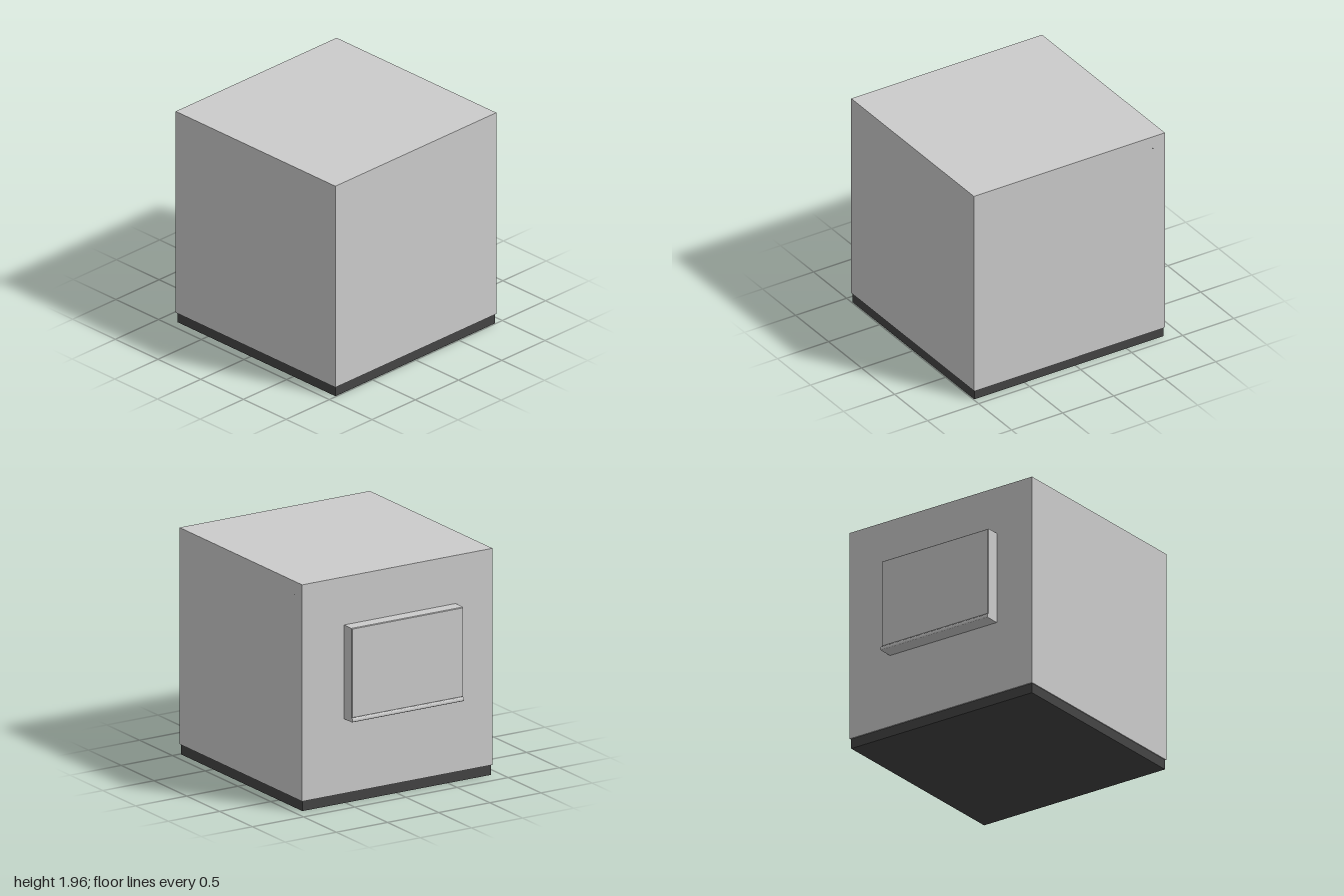
import * as THREE from 'three';

const grey = new THREE.MeshStandardMaterial({ color: 0xcccccc });
const dark = new THREE.MeshStandardMaterial({ color: 0x444444 });

// Box given by its limits on each axis
function box(name, [x0, x1], [y0, y1], [z0, z1], material = grey) {
  const mesh = new THREE.Mesh(new THREE.BoxGeometry(x1 - x0, y1 - y0, z1 - z0), material);
  mesh.position.set((x0 + x1) / 2, (y0 + y1) / 2, (z0 + z1) / 2);
  mesh.name = name;
  return mesh;
}

function rectangle(PathType, [x0, x1], [y0, y1]) {
  return new PathType([[x0, y0], [x1, y0], [x1, y1], [x0, y1]].map(p => new THREE.Vector2(...p)));
}

// Rectangular ring from z0 to z1, with chamfered edges where bevel > 0
function ring(name, outerX, outerY, innerX, innerY, z0, z1, bevel = 0) {
  const inset = ([a, b], d) => [a + d, b - d];
  const shape = rectangle(THREE.Shape, inset(outerX, bevel), inset(outerY, bevel));
  shape.holes.push(rectangle(THREE.Path, inset(innerX, -bevel), inset(innerY, -bevel)));
  const geometry = new THREE.ExtrudeGeometry(shape, {
    depth: z1 - z0 - 2 * bevel, bevelEnabled: bevel > 0,
    bevelSize: bevel, bevelThickness: bevel, bevelSegments: 1,
  });
  geometry.translate(0, 0, z0 + bevel);
  const mesh = new THREE.Mesh(geometry, grey);
  mesh.name = name;
  return mesh;
}

function createWindow() {
  const group = new THREE.Group();
  group.name = 'window';
  const outX = [-0.57, 0.52], outY = [0.765, 1.54];
  const sashX = [-0.53, 0.48], sashY = [0.775, 1.5];
  const openX = [-0.49, 0.45], openY = [0.85, 1.44];

  // Casing and the slightly recessed sash within it
  group.add(ring('casing', outX, outY, sashX, sashY, -0.988, -0.86, 0.006));
  group.add(ring('sash', sashX, sashY, openX, openY, -0.975, -0.86));
  group.add(box('pane', openX, openY, [-0.925, -0.86]));

  // Glazing bars: two uprights and one crossbar high up
  const w = 0.012, barZ = [-0.96, -0.92];
  for (const i of [1, 2]) {
    const x = openX[0] + (openX[1] - openX[0]) * i / 3;
    group.add(box('uprightBar', [x - w, x + w], openY, barZ));
  }
  group.add(box('crossbar', openX, [1.26 - w, 1.26 + w], barZ));

  // Sloping sill with a rounded nose, swept along x
  const profile = new THREE.Shape();
  profile.moveTo(0.86, 0.73);
  profile.lineTo(0.985, 0.73);
  profile.quadraticCurveTo(1, 0.73, 1, 0.745);
  profile.quadraticCurveTo(1, 0.765, 0.985, 0.766);
  profile.lineTo(0.86, 0.778);
  const sill = new THREE.Mesh(
    new THREE.ExtrudeGeometry(profile, { depth: outX[1] - outX[0], bevelEnabled: false, curveSegments: 6 }), grey);
  sill.rotation.y = Math.PI / 2;
  sill.geometry.rotateY(0);
  // After the quarter turn, profile x runs to -z and depth runs to +x
  sill.position.x = outX[0];
  sill.name = 'sill';
  group.add(sill);
  return group;
}

export function createModel() {
  const model = new THREE.Group();
  model.name = 'building';
  model.add(box('plinth', [-0.922, 0.922], [0, 0.087], [-0.86, 0.992], dark));
  model.add(box('walls', [-0.93, 0.93], [0.087, 1.955], [-0.87, 1]));
  model.add(createWindow());

  // Tiny stud high on the side wall
  model.add(box('stud', [0.92, 0.932], [1.838, 1.846], [-0.756, -0.748], dark));
  return model;
}
